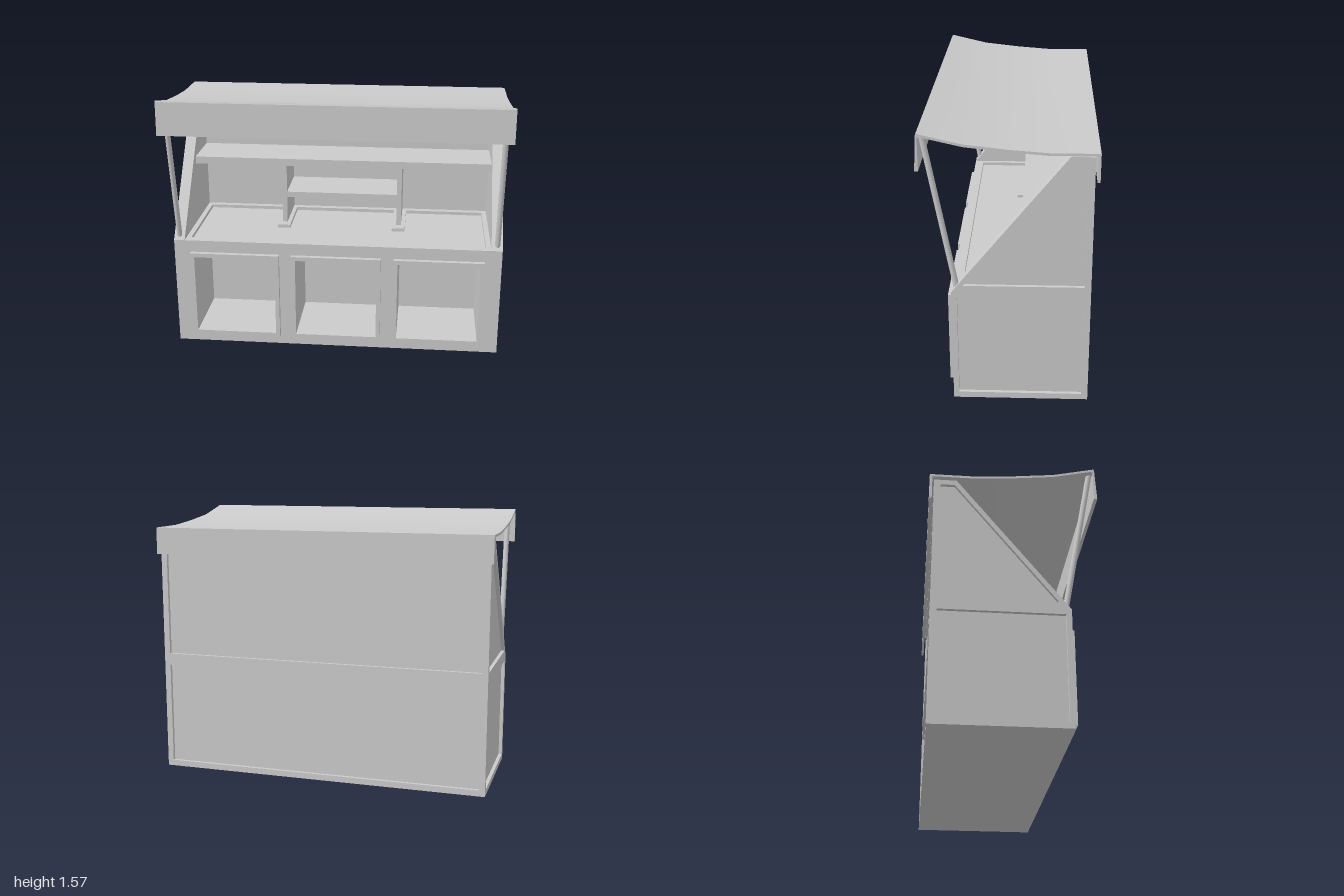
import * as THREE from 'three';
import { toCreasedNormals } from 'three/addons/utils/BufferGeometryUtils.js';

const material = new THREE.MeshStandardMaterial({ color: 0xcccccc });

function shapeOf(points, holes = []) {
  const vec = (list) => list.map(([a, b]) => new THREE.Vector2(a, b));
  const shape = new THREE.Shape(vec(points));
  for (const hole of holes) shape.holes.push(new THREE.Path(vec(hole)));
  return shape;
}

const rect = (a0, b0, a1, b1) => [[a0, b0], [a1, b0], [a1, b1], [a0, b1]];
const extrude = (shape, depth) => new THREE.ExtrudeGeometry(shape, { depth, bevelEnabled: false });

// Prism along x from a (z, y) outline
const prismX = (shape, x0, x1) => extrude(shape, x1 - x0).rotateY(-Math.PI / 2).translate(x1, 0, 0);
// Prism along y from an (x, z) outline
const prismY = (shape, y0, y1) => extrude(shape, y1 - y0).rotateX(Math.PI / 2).translate(0, y1, 0);
// Prism along z from an (x, y) outline
const prismZ = (shape, z0, z1) => extrude(shape, z1 - z0).translate(0, 0, z0);

export function createModel() {
  const model = new THREE.Group();
  const add = (name, geometry) => {
    const mesh = new THREE.Mesh(geometry, material);
    mesh.name = name;
    model.add(mesh);
    return mesh;
  };
  const addBox = (name, x0, x1, y0, y1, z0, z1) => add(name,
    new THREE.BoxGeometry(x1 - x0, y1 - y0, z1 - z0)
      .translate((x0 + x1) / 2, (y0 + y1) / 2, (z0 + z1) / 2));

  // Cabinet with three open bins
  const binCentres = [-0.615, 0, 0.615];
  const opening = (cx) => rect(cx - 0.245, 0.083, cx + 0.245, 0.572);
  add('cabinetFront', prismZ(shapeOf(rect(-0.92, 0, 0.92, 0.65), binCentres.map(opening)), -0.12, 0.305));
  addBox('cabinetRear', -0.92, 0.92, 0, 0.65, -0.42, -0.12);
  for (const cx of binCentres) {
    add('binFrame', prismZ(shapeOf(rect(cx - 0.27, 0.058, cx + 0.27, 0.597), [opening(cx)]), 0.305, 0.333));
  }

  // Raised rim around the sunken counter
  add('counterRim', prismY(
    shapeOf(rect(-0.92, -0.38, 0.92, 0.305), [rect(-0.89, -0.34, 0.89, 0.25)]), 0.65, 0.67));

  // Side walls: a core plate with a framed skin leaving recessed panels
  const sideOutline = (back) => [[0.305, 0], [0.305, 0.67], [-0.315, 1.45], [back, 1.45], [back, 0]];
  const sidePanels = [
    rect(-0.405, 0.035, 0.275, 0.64),
    [[0.24, 0.71], [-0.325, 1.42], [-0.405, 1.42], [-0.405, 0.71]],
  ];
  for (const side of [-1, 1]) {
    const span = (a, b) => (side > 0 ? [a, b] : [-b, -a]);
    add('sideWall', prismX(shapeOf(sideOutline(-0.42)), ...span(0.92, 0.965)));
    add('sideFrame', prismX(shapeOf(sideOutline(-0.44), sidePanels), ...span(0.965, 0.985)));
  }

  // Back wall with two recessed panels
  addBox('backWall', -0.92, 0.92, 0.65, 1.45, -0.42, -0.378);
  add('backFrame', prismZ(shapeOf(rect(-0.965, 0, 0.965, 1.45),
    [rect(-0.95, 0.035, 0.95, 0.64), rect(-0.95, 0.71, 0.95, 1.42)]), -0.44, -0.42));

  // Shelves and dividers on the counter
  addBox('upperShelf', -0.92, 0.92, 1.04, 1.085, -0.378, -0.07);
  addBox('lowerShelf', -0.345, 0.345, 0.835, 0.87, -0.378, -0.07);
  for (const side of [-1, 1]) {
    const cx = side * 0.36;
    addBox('dividerFoot', cx - 0.04, cx + 0.04, 0.65, 0.67, -0.34, -0.01);
    addBox('shelfDivider', cx - 0.015, cx + 0.015, 0.67, 1.04, -0.378, -0.07);
  }

  // Sagging awning with front valance and rear flap
  const awning = shapeOf([
    [0.455, 1.568], [0.225, 1.515], [0, 1.49], [-0.21, 1.474], [-0.465, 1.474],
    [-0.465, 1.318], [-0.45, 1.318], [-0.45, 1.46], [-0.21, 1.46], [0, 1.476],
    [0.225, 1.501], [0.437, 1.55], [0.45, 1.545], [0.45, 1.368], [0.469, 1.368], [0.459, 1.56],
  ]);
  add('awning', toCreasedNormals(prismX(awning, -1, 1), 0.4));

  // Slanted awning poles
  for (const side of [-1, 1]) {
    const foot = new THREE.Vector3(side * 0.955, 0.69, 0.278);
    const head = new THREE.Vector3(side * 0.955, 1.55, 0.434);
    const axis = head.clone().sub(foot);
    const pole = add('awningPole', new THREE.CylinderGeometry(0.016, 0.016, axis.length(), 12));
    pole.position.copy(foot).add(head).multiplyScalar(0.5);
    pole.quaternion.setFromUnitVectors(new THREE.Vector3(0, 1, 0), axis.normalize());
  }

  return model;
}
